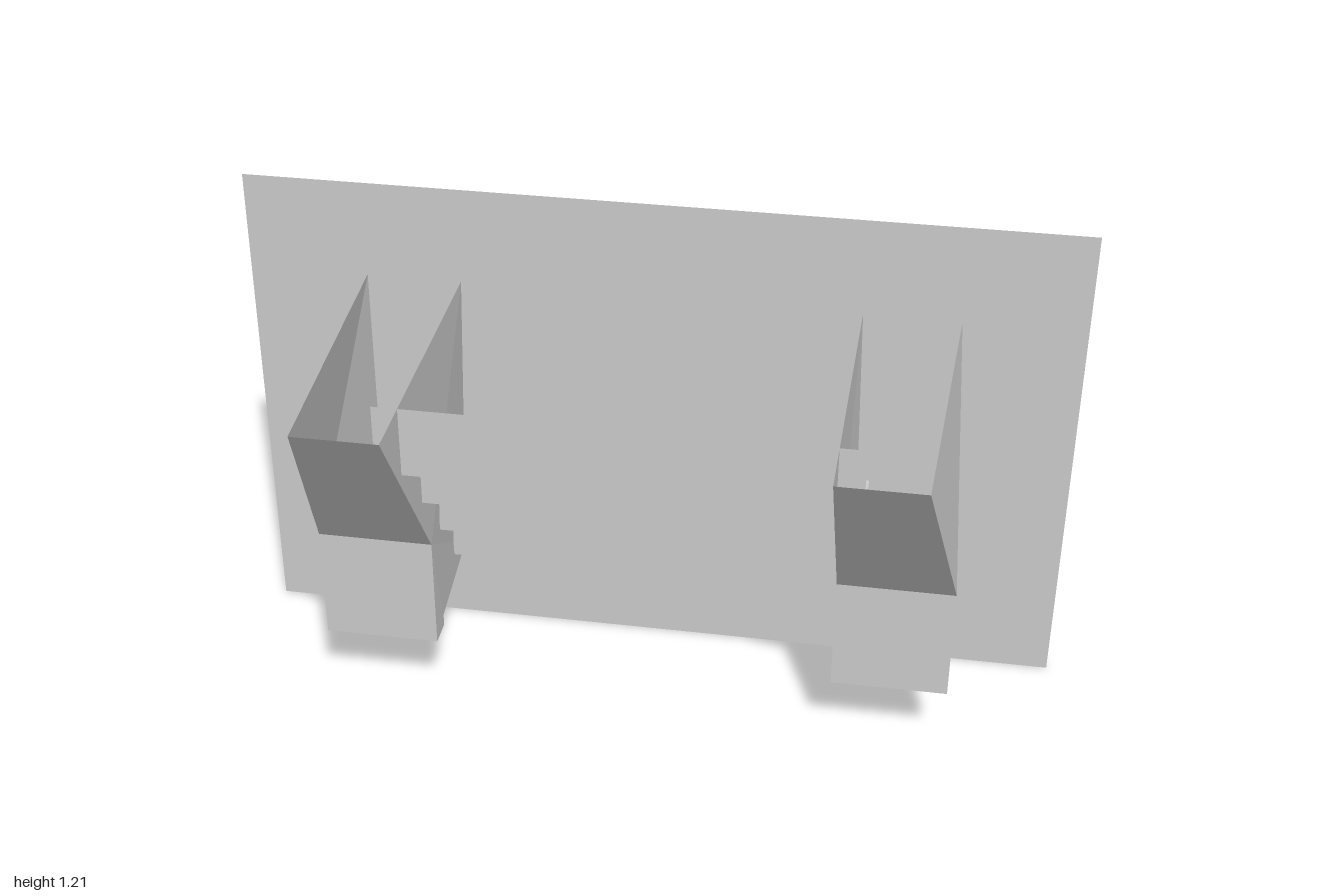
import * as THREE from 'three';

const material = new THREE.MeshStandardMaterial({
  color: 0xcccccc, flatShading: true, side: THREE.DoubleSide,
});

const BACK = -0.375, TOP = 0.97;

function sheet(name, triangles) {
  const geometry = new THREE.BufferGeometry().setFromPoints(triangles.map((p) => new THREE.Vector3(...p)));
  geometry.computeVertexNormals();
  const mesh = new THREE.Mesh(geometry, material);
  mesh.name = name;
  return mesh;
}

// Strip of quads joining two matching lines of points
function strip(a, b) {
  const out = [];
  for (let i = 0; i < a.length - 1; i++) {
    out.push(a[i], b[i], b[i + 1], a[i], b[i + 1], a[i + 1]);
  }
  return out;
}

// Wall filled as a fan from its first point
function fan(points) {
  const out = [];
  for (let i = 1; i < points.length - 1; i++) out.push(points[0], points[i], points[i + 1]);
  return out;
}

// Hollow side bracket, open at the top and against the panel
function bracket(name, side) {
  // Side outline from the front bend round to the front lip: inner x, outer x, y, z
  const outline = [
    [0.48, 0.755, 0.475, 0.02],
    [0.48, 0.755, 0.19, 0.02],
    [0.48, 0.747, 0.19, -0.05],
    [0.48, 0.747, 0.22, -0.05],
    [0.5, 0.71, 0.22, BACK],
    [0.48, 0.71, TOP, BACK],
    [0.48, 0.68, TOP, 0.375],
  ];
  const inner = outline.map(([x, , y, z]) => [side * x, y, z]);
  const outer = outline.map(([, x, y, z]) => [side * x, y, z]);
  // Front face and stepped underside run from the lip down to the panel
  const path = (p) => [p[6], ...p.slice(0, 5)];

  const group = new THREE.Group();
  group.name = name;
  group.add(
    sheet('innerWall', fan(inner)),
    sheet('outerWall', fan(outer)),
    sheet('frontAndUnderside', strip(path(inner), path(outer))),
  );
  return group;
}

// Stepped sheet rising from the panel towards the front
function steps() {
  const heights = [0.28, 0.455, 0.63, 0.8, TOP];
  const depths = [BACK, -0.225, -0.075, 0.075, 0.225];
  const profile = [[heights[0], depths[0]]];
  for (let i = 1; i < depths.length; i++) {
    profile.push([heights[i - 1], depths[i]], [heights[i], depths[i]]);
  }
  const line = (x) => profile.map(([y, z]) => [x, y, z]);
  return sheet('steps', strip(line(-0.54), line(0.54)));
}

export function createModel() {
  const model = new THREE.Group();
  model.name = 'steppedWallBracket';

  const panel = new THREE.Mesh(new THREE.PlaneGeometry(2, 1.21), material);
  panel.name = 'backPanel';
  panel.position.set(0, 0.605, BACK);

  model.add(panel, bracket('leftBracket', 1), bracket('rightBracket', -1), steps());
  return model;
}
